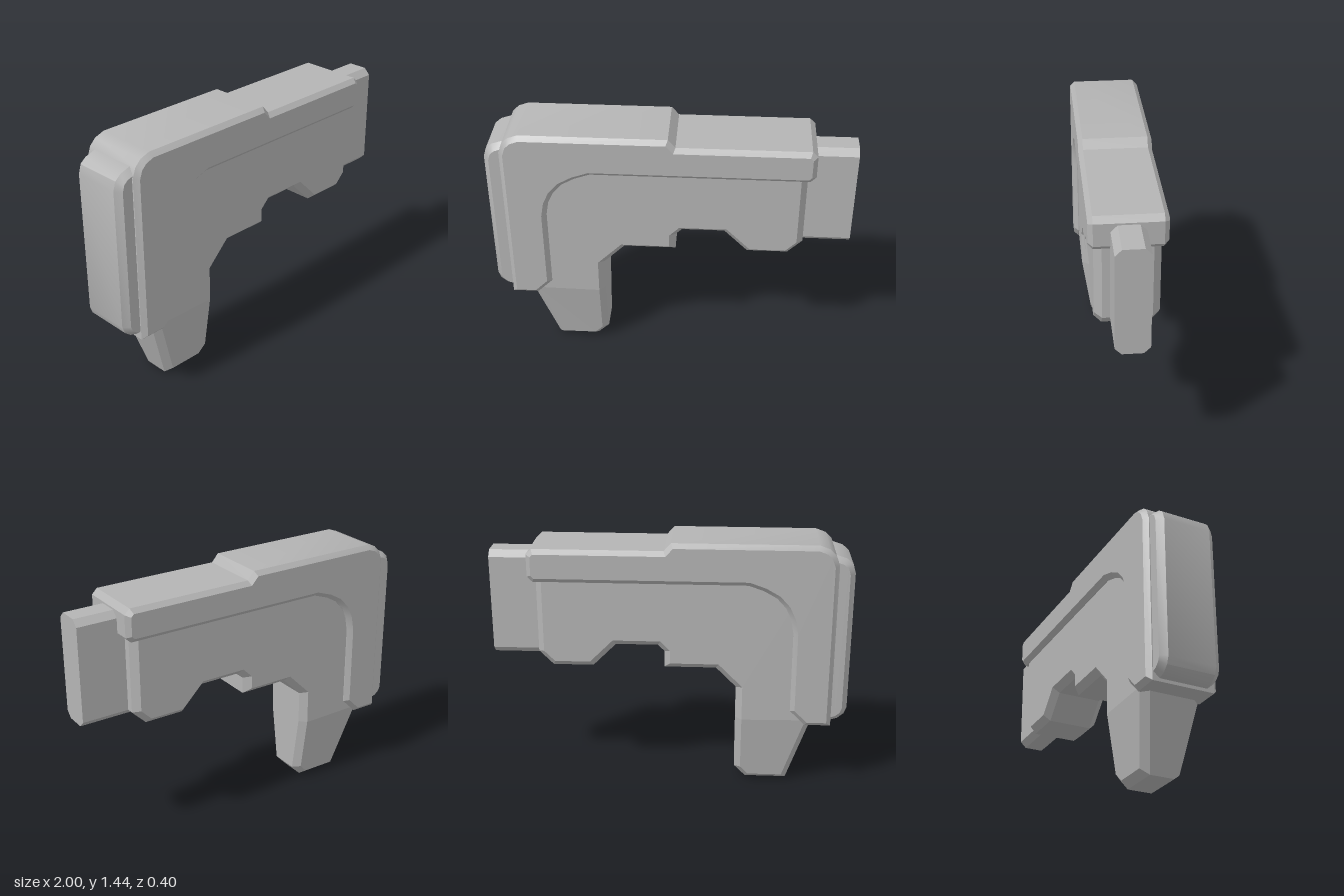
import * as THREE from 'three';
import { toCreasedNormals } from 'three/addons/utils/BufferGeometryUtils.js';

const grey = new THREE.MeshStandardMaterial({ color: 0xb4b4b4 });
grey.name = 'grey';

// Moves a counter-clockwise outline inwards by d with mitred corners
function insetOutline(pts, d) {
  const n = pts.length;
  const normal = (a, b) => {
    const l = Math.hypot(b[0] - a[0], b[1] - a[1]);
    return [-(b[1] - a[1]) / l, (b[0] - a[0]) / l];
  };
  return pts.map((p, i) => {
    const a = normal(pts[(i + n - 1) % n], p), b = normal(p, pts[(i + 1) % n]);
    const k = d / (1 + a[0] * b[0] + a[1] * b[1]);
    return [p[0] + (a[0] + b[0]) * k, p[1] + (a[1] + b[1]) * k];
  });
}

// Chamfered plate, symmetric in z; taper(y) thins it, regions split its faces
function slab(name, pts, { inset, face, edge, taper = () => 0, regions, crease = 0.5 }) {
  const n = pts.length, inner = insetOutline(pts, inset), pos = [];
  const rings = [
    inner.map(([x, y]) => [x, y, -face + taper(y)]),
    pts.map(([x, y]) => [x, y, -edge + taper(y)]),
    pts.map(([x, y]) => [x, y, edge - taper(y)]),
    inner.map(([x, y]) => [x, y, face - taper(y)]),
  ];
  const tri = (a, b, c) => pos.push(...a, ...b, ...c);
  for (let r = 0; r < 3; r++) {
    for (let i = 0; i < n; i++) {
      const j = (i + 1) % n, lo = rings[r], hi = rings[r + 1];
      tri(lo[i], lo[j], hi[j]);
      tri(lo[i], hi[j], hi[i]);
    }
  }
  for (const region of regions ?? [[...pts.keys()]]) {
    const contour = region.map((i) => new THREE.Vector2(...inner[i]));
    for (const f of THREE.ShapeUtils.triangulateShape(contour, [])) {
      const [a, b, c] = f.map((i) => region[i]);
      tri(rings[3][a], rings[3][b], rings[3][c]);
      tri(rings[0][a], rings[0][c], rings[0][b]);
    }
  }
  let geo = new THREE.BufferGeometry();
  geo.setAttribute('position', new THREE.Float32BufferAttribute(pos, 3));
  geo.computeVertexNormals();
  if (crease) geo = toCreasedNormals(geo, crease);
  const mesh = new THREE.Mesh(geo, grey);
  mesh.name = name;
  return mesh;
}

export function createModel() {
  const group = new THREE.Group();
  group.name = 'chamferedHandheldBody';

  // Lower body with trigger notch and a grip that narrows below y = 0.41
  const body = [
    [-0.675, 0], [-0.44, 0], [-0.375, 0.07], [-0.375, 0.41], [-0.375, 0.595],
    [-0.26, 0.71], [0.03, 0.71], [0.03, 0.805], [0.065, 0.84], [0.3, 0.84],
    [0.43, 0.71], [0.655, 0.71], [0.735, 0.79], [0.735, 1.3], [-0.8, 1.3], [-0.805, 0.41],
  ];
  const last = body.length - 1;
  group.add(slab('gripBody', body, {
    inset: 0.035, face: 0.17, edge: 0.13, crease: 0,
    taper: (y) => 0.15 * Math.max(0, 0.41 - y),
    regions: [[last, 0, 1, 2, 3], [...body.keys()].slice(3)],
  }));

  // Wider L-shaped shell along the top and back
  group.add(slab('upperShell', [
    [-0.91, 0.39], [-0.765, 0.39], [-0.68, 0.475], [-0.68, 0.94], [-0.665, 1.02],
    [-0.635, 1.085], [-0.585, 1.14], [-0.515, 1.18], [-0.43, 1.21],
    [0.745, 1.21], [0.775, 1.24], [0.775, 1.365], [0.745, 1.395], [0.03, 1.395],
    [-0.01, 1.44], [-0.8, 1.44], [-0.855, 1.42], [-0.89, 1.385], [-0.91, 1.33],
  ], { inset: 0.025, face: 0.2, edge: 0.175 }));

  // Rounded plate behind the shell
  group.add(slab('backPlate', [
    [-1, 0.49], [-0.985, 0.45], [-0.95, 0.42], [-0.9, 0.405], [-0.8, 0.405],
    [-0.8, 1.385], [-0.89, 1.38], [-0.95, 1.36], [-0.985, 1.33], [-1, 1.28],
  ], { inset: 0.03, face: 0.17, edge: 0.135 }));

  // Tall octagonal nose at the +x end
  const w = 0.09, c = 0.055, h = 0.3, k = 0.265;
  const outline = [[c, -h], [w, -k], [w, k], [c, h], [-c, h], [-w, k], [-w, -k], [-c, -h]];
  const noseGeo = new THREE.ExtrudeGeometry(
    new THREE.Shape(outline.map((p) => new THREE.Vector2(...p))),
    { depth: 0.35, bevelEnabled: false });
  noseGeo.rotateY(Math.PI / 2);
  const nose = new THREE.Mesh(noseGeo, grey);
  nose.name = 'nose';
  nose.position.set(0.65, 1.055, 0);
  group.add(nose);

  return group;
}
